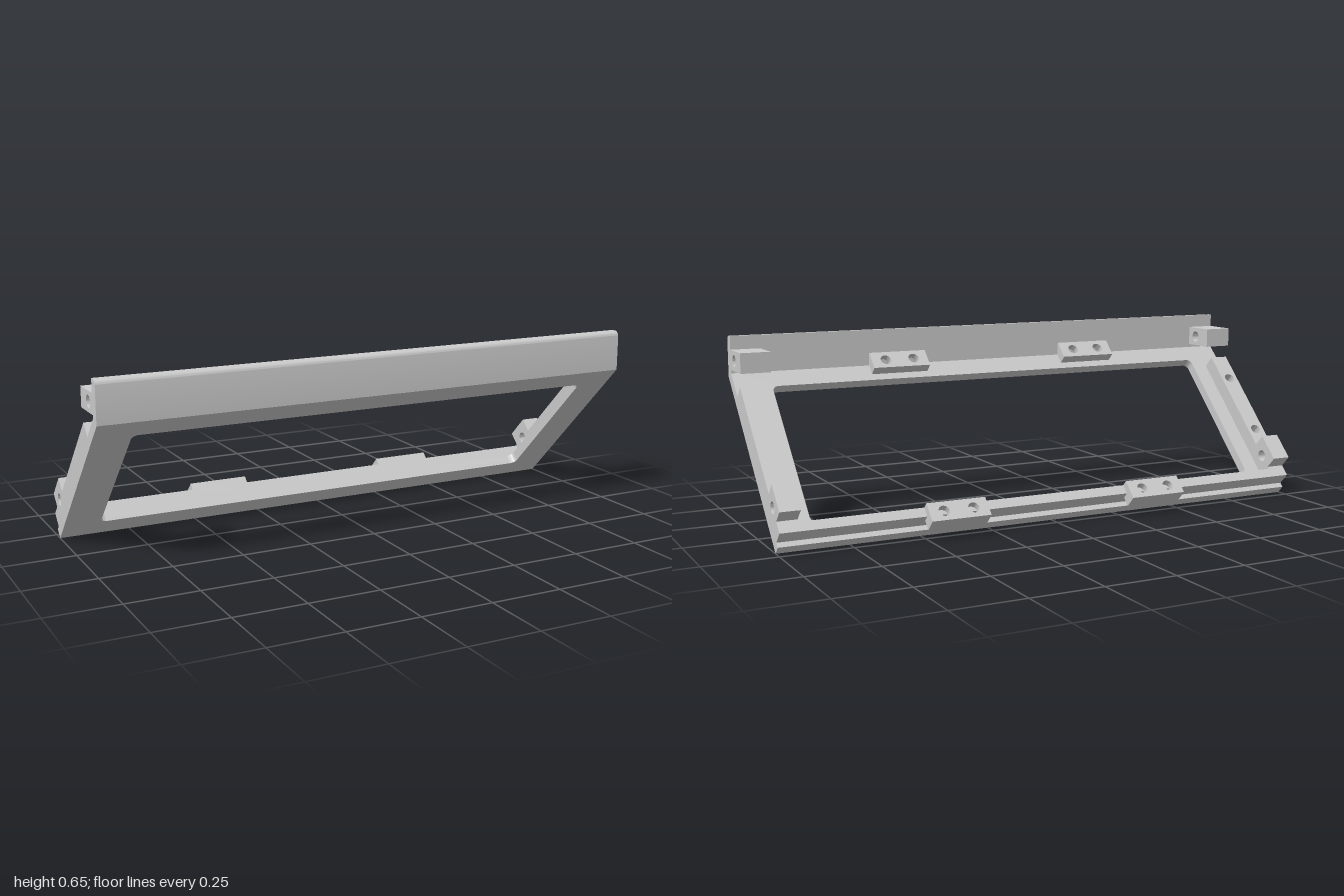
import * as THREE from 'three';
import { toCreasedNormals } from 'three/addons/utils/BufferGeometryUtils.js';

const material = new THREE.MeshStandardMaterial({ color: 0xcccccc });
const T = 0.036;        // panel thickness
const RAIL = 0.09;      // height of the rails above the panel's front face
const LENGTH = 0.721;   // panel length up the slope

function circle(x, y, r = 0.02) {
  return new THREE.Path().absarc(x, y, r, 0, Math.PI * 2, true);
}

function polygon(points, holes = []) {
  const shape = new THREE.Shape(points.map(([x, y]) => new THREE.Vector2(x, y)));
  shape.holes.push(...holes);
  return shape;
}

function rect(x0, x1, y0, y1, holes = []) {
  return polygon([[x0, y0], [x1, y0], [x1, y1], [x0, y1]], holes);
}

function roundedPath(x0, x1, y0, y1, r) {
  const p = new THREE.Path();
  p.absarc(x1 - r, y0 + r, r, -Math.PI / 2, 0);
  p.absarc(x1 - r, y1 - r, r, 0, Math.PI / 2);
  p.absarc(x0 + r, y1 - r, r, Math.PI / 2, Math.PI);
  p.absarc(x0 + r, y0 + r, r, Math.PI, Math.PI * 1.5);
  p.closePath();
  return p;
}

function extrude(shape, depth) {
  return new THREE.ExtrudeGeometry(shape, { depth, bevelEnabled: false, curveSegments: 12 });
}

function addMesh(parent, name, geometry) {
  const mesh = new THREE.Mesh(toCreasedNormals(geometry, 0.6), material);
  mesh.name = name;
  parent.add(mesh);
  return mesh;
}

// Plate lying on the slope: shape is (x, distance up the slope), v is height off the front face
function slab(parent, name, shape, v0, v1) {
  return addMesh(parent, name, extrude(shape, v1 - v0).translate(0, 0, -v1));
}

// Side profile (-z, y) swept along x
function sweep(parent, name, shape, x0, x1) {
  return addMesh(parent, name, extrude(shape, x1 - x0).rotateY(Math.PI / 2).translate(x0, 0, 0));
}

export function createModel() {
  const model = new THREE.Group();
  model.name = 'slopedFrame';

  // Everything built on the 45 degree slope
  const slope = new THREE.Group();
  slope.name = 'slopedPart';
  slope.position.z = -0.207;
  slope.rotation.x = Math.PI / 4;
  model.add(slope);

  // Panel with its rounded window
  slab(slope, 'framePanel',
    rect(-1, 1, 0, LENGTH, [roundedPath(-0.87, 0.87, 0.08, 0.641, 0.022)]), 0, T);

  // Bottom rail
  slab(slope, 'bottomRail', rect(-0.93, 0.93, 0.019, 0.055), T, RAIL);

  // Clip plates, each with two screw holes
  for (const cx of [-0.388, 0.388]) {
    const clip = (name, u0, u1, v0, v1) => slab(slope, name,
      rect(cx - 0.108, cx + 0.108, u0, u1,
        [-0.054, 0.054].map(d => circle(cx + d, (u0 + u1) / 2))), v0, v1);
    clip('lowerClip', -0.018, 0.055, 0.064, 0.116);
    clip('upperClip', 0.667, 0.737, T, 0.072);
  }

  for (const side of [-1, 1]) {
    const span = (w) => side > 0 ? [1 - w, 1] : [-1, -1 + w];

    // Side rail, drilled on one side only
    const holes = side < 0 ? [circle(-0.965, 0.241), circle(-0.965, 0.496)] : [];
    slab(slope, 'sideRail', rect(...span(0.07), 0.171, 0.605, holes), T, RAIL);

    // Lower pivot block standing on the end of the rail
    sweep(slope, 'lowerPivotBlock', polygon([
      [T, 0.019], [RAIL, 0.019], [RAIL, 0.064], [0.144, 0.064], [0.144, 0.171], [T, 0.171],
    ], [circle(RAIL, 0.117, 0.021)]), ...span(0.07));

    // Upper pivot block fixed to the back of the wall
    sweep(model, 'upperPivotBlock',
      rect(-0.28, -0.143, 0.538, 0.608, [circle(-0.223, 0.573, 0.021)]), ...span(0.105));
  }

  // Upright upper wall with a rounded front top edge
  const wall = new THREE.Shape();
  wall.moveTo(-0.303, 0.51);
  wall.lineTo(-0.268, 0.51);
  wall.lineTo(-0.268, 0.655);
  wall.lineTo(-0.283, 0.655);
  wall.absarc(-0.283, 0.635, 0.02, Math.PI / 2, Math.PI, false);
  wall.closePath();
  sweep(model, 'upperWall', wall, -1, 1);

  return model;
}
